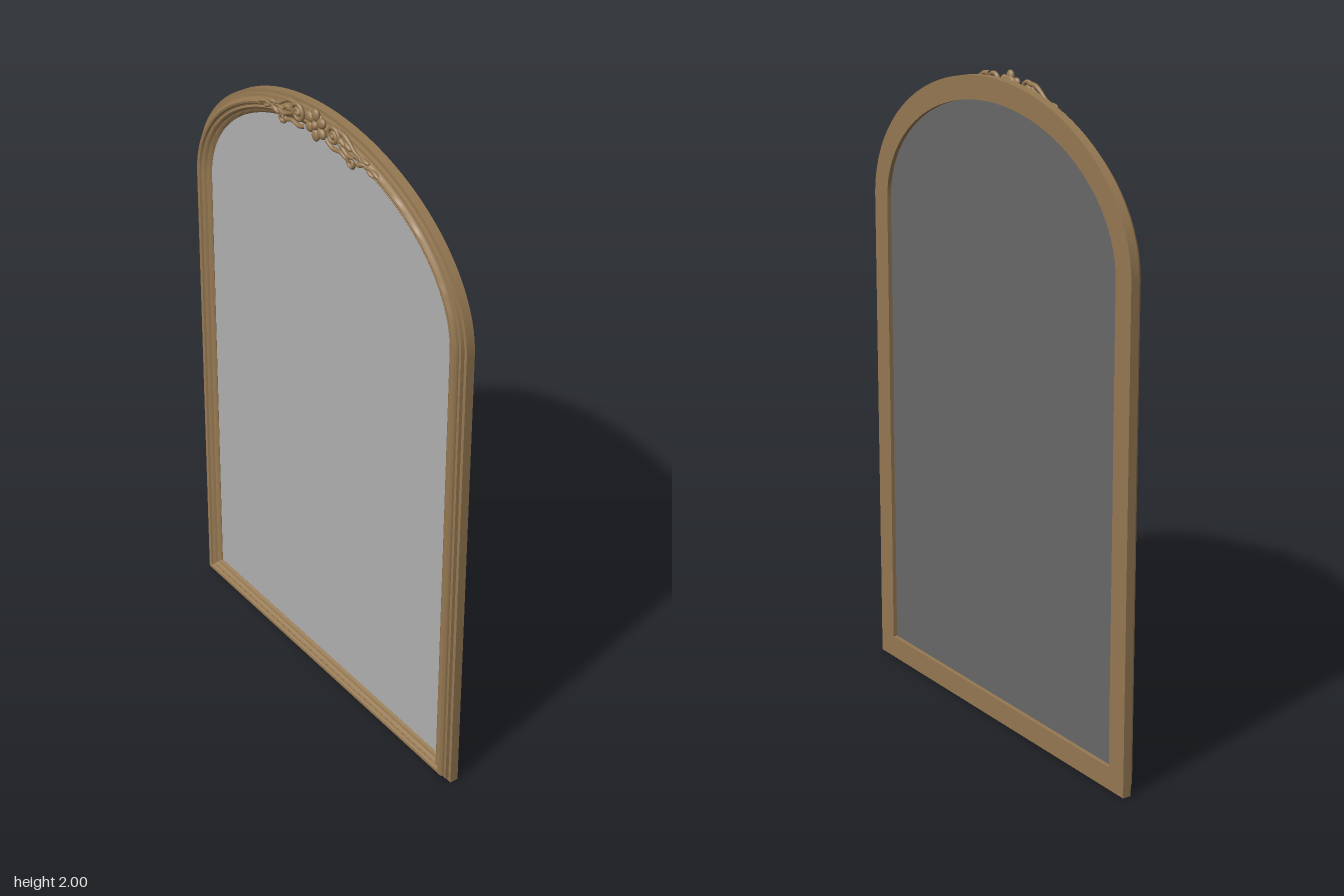
import * as THREE from 'three';
import { toCreasedNormals } from 'three/addons/utils/BufferGeometryUtils.js';

const W = 0.65, SPRING = 1.52, RISE = 0.46;
const V = (x, y) => new THREE.Vector2(x, y);

// Outer outline, counterclockwise: straight sides and base under an elliptical arch
const outline = [V(-W, 0), V(W, 0)];
for (let i = 0; i <= 56; i++) {
  const a = (i / 56) * Math.PI;
  outline.push(V(W * Math.cos(a), SPRING + RISE * Math.sin(a)));
}

// Outline moved inward by d, with mitred corners
function inset(d) {
  const n = outline.length;
  const normal = (p, q) => V(p.y - q.y, q.x - p.x).normalize();
  return outline.map((p, i) => {
    const n1 = normal(outline[(i + n - 1) % n], p);
    const n2 = normal(p, outline[(i + 1) % n]);
    return p.clone().addScaledVector(n1.clone().add(n2), d / (1 + n1.dot(n2)));
  });
}

// Moulding profile: distance in from the outer edge, depth
const profile = [
  [0, -0.035], [0, -0.008], [0.011, -0.008], [0.012, 0.002], [0.02, 0.003],
  [0.021, 0.011], [0.025, 0.016], [0.031, 0.018], [0.037, 0.016], [0.04, 0.01],
  [0.044, 0.008], [0.049, 0.011], [0.054, 0.008], [0.057, 0.002], [0.064, 0], [0.07, -0.007], [0.07, -0.035],
];

function mouldingGeometry() {
  const pos = [], index = [], n = outline.length, m = profile.length;
  for (const [d, z] of profile) for (const p of inset(d)) pos.push(p.x, p.y, z);
  for (let j = 0; j < m; j++) {
    for (let i = 0; i < n; i++) {
      const i2 = (i + 1) % n, j2 = (j + 1) % m;
      const a = j * n + i, b = j * n + i2, c = j2 * n + i2, d = j2 * n + i;
      index.push(a, b, c, a, c, d);
    }
  }
  const g = new THREE.BufferGeometry();
  g.setAttribute('position', new THREE.Float32BufferAttribute(pos, 3));
  g.setIndex(index);
  return toCreasedNormals(g, 0.6);
}

// Tube along a curve, thinning from r0 to r1
function taperedTube(points, r0, r1, z) {
  const curve = new THREE.CatmullRomCurve3(points.map(([x, y]) => new THREE.Vector3(x, y, z)));
  const seg = 40, sides = 8;
  const g = new THREE.TubeGeometry(curve, seg, 1, sides, false);
  const p = g.attributes.position, v = new THREE.Vector3();
  for (let i = 0; i <= seg; i++) {
    const c = curve.getPointAt(i / seg), r = r0 + (r1 - r0) * (i / seg);
    for (let k = 0; k <= sides; k++) {
      const id = i * (sides + 1) + k;
      v.fromBufferAttribute(p, id).sub(c).multiplyScalar(r).add(c);
      p.setXYZ(id, v.x, v.y, v.z);
    }
  }
  return g;
}

// Points of a spiral winding inward
function spiral(cx, cy, r, start, turns, dir) {
  return Array.from({ length: 15 }, (_, i) => {
    const t = i / 14, a = start + dir * turns * 2 * Math.PI * t, q = r * (1 - 0.72 * t);
    return [cx + q * Math.cos(a), cy + q * Math.sin(a)];
  });
}

export function createModel() {
  const model = new THREE.Group();
  const gilt = new THREE.MeshStandardMaterial({ color: 0x957852 });
  const silver = new THREE.MeshStandardMaterial({ color: 0xb0b0b0 });
  const slate = new THREE.MeshStandardMaterial({ color: 0x686868 });

  function add(parent, name, geometry, material) {
    const mesh = new THREE.Mesh(geometry, material);
    mesh.name = name;
    parent.add(mesh);
    return mesh;
  }
  function blob(parent, name, x, y, z, sx, sy, sz, angle = 0) {
    const m = add(parent, name, new THREE.SphereGeometry(1, 14, 10), gilt);
    m.position.set(x, y, z);
    m.scale.set(sx, sy, sz);
    m.rotation.z = angle;
    return m;
  }

  add(model, 'frameMoulding', mouldingGeometry(), gilt);

  // Mirror pane and the board behind it
  const pane = new THREE.ShapeGeometry(new THREE.Shape(inset(0.069)));
  add(model, 'mirrorGlass', pane, silver).position.z = -0.008;
  const board = add(model, 'backBoard', pane, slate);
  board.rotation.y = Math.PI;
  board.position.z = -0.022;

  // Central rosette
  const rosette = new THREE.Group();
  rosette.name = 'rosette';
  rosette.position.set(0, 1.95, 0);
  model.add(rosette);
  blob(rosette, 'rosetteBase', 0, 0, 0.016, 0.036, 0.036, 0.01);
  for (let i = 0; i < 6; i++) {
    const a = Math.PI / 2 + (i * Math.PI) / 3;
    blob(rosette, 'petal', 0.031 * Math.cos(a), 0.031 * Math.sin(a), 0.022, 0.019, 0.0155, 0.01, a);
  }
  blob(rosette, 'rosetteCentre', 0, 0, 0.025, 0.013, 0.013, 0.01);

  // Scrolls and leaves on each side
  for (const s of [-1, 1]) {
    const side = new THREE.Group();
    side.name = s > 0 ? 'leftScrollwork' : 'rightScrollwork';
    model.add(side);
    const scroll = (name, pts, r0, r1, z) =>
      add(side, name, taperedTube(pts.map(([x, y]) => [s * x, y]), r0, r1, z), gilt);
    const leaf = (x, y, len, wid, angle, z = 0.019) =>
      blob(side, 'leaf', s * x, y, z, len, wid, 0.008, s * angle);

    scroll('largeScroll', [[0.178, 1.925], [0.15, 1.922], [0.125, 1.935], ...spiral(0.083, 1.952, 0.03, -0.4, 1.5, 1)], 0.006, 0.0075, 0.023);
    blob(side, 'scrollEye', s * 0.083, 1.952, 0.024, 0.01, 0.01, 0.009);
    scroll('lowerScroll', [[0.05, 1.925], [0.08, 1.912], [0.115, 1.916], [0.14, 1.908], ...spiral(0.163, 1.905, 0.016, Math.PI * 0.9, 1.1, 1)], 0.007, 0.005, 0.021);
    scroll('upperScroll', [[0.1, 1.975], [0.13, 1.972], [0.155, 1.958], [0.178, 1.942], [0.2, 1.935]], 0.008, 0.004, 0.019);
    scroll('trailingStem', [[0.16, 1.928], [0.195, 1.93], [0.225, 1.918], [0.255, 1.917], [0.282, 1.905]], 0.007, 0.003, 0.017);
    leaf(0.12, 1.95, 0.02, 0.009, -0.5, 0.022);
    leaf(0.145, 1.945, 0.018, 0.008, -0.4);
    leaf(0.2, 1.915, 0.02, 0.008, 0.4);
    leaf(0.218, 1.932, 0.02, 0.007, -0.1, 0.016);
    leaf(0.243, 1.907, 0.018, 0.006, -0.4, 0.016);
    leaf(0.265, 1.913, 0.02, 0.006, -0.35, 0.015);
    leaf(0.165, 1.893, 0.009, 0.008, 0);
  }
  return model;
}
